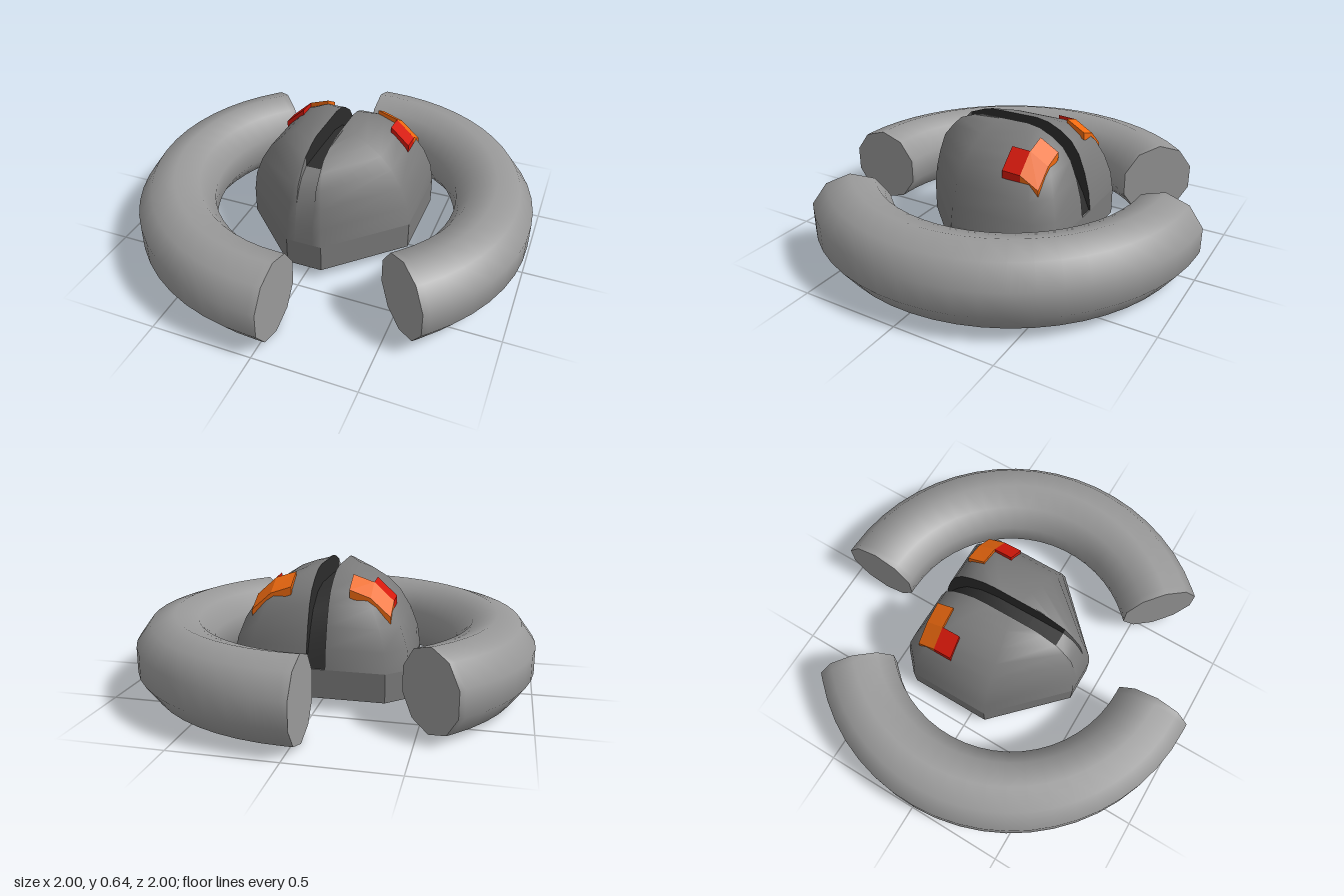
import * as THREE from 'three';
import { toCreasedNormals } from 'three/addons/utils/BufferGeometryUtils.js';

const ringGrey = new THREE.MeshStandardMaterial({ color: 0x999999 });
const bodyGrey = new THREE.MeshStandardMaterial({ color: 0x7a7a7a });
const bodyThin = new THREE.MeshStandardMaterial({ color: 0x7a7a7a, side: THREE.DoubleSide });
const dark = new THREE.MeshStandardMaterial({ color: 0x2c2c2c });
const darkThin = new THREE.MeshStandardMaterial({ color: 0x2c2c2c, side: THREE.DoubleSide });
const orange = new THREE.MeshStandardMaterial({ color: 0xf06a10, flatShading: true });
const red = new THREE.MeshStandardMaterial({ color: 0xd4180a, flatShading: true });

function part(parent, name, geometry, material) {
  const mesh = new THREE.Mesh(geometry, material);
  mesh.name = name;
  parent.add(mesh);
  return mesh;
}

// Skin over rows of points, with optional flat caps on the first and last row
function loft(rows, crease, capStart, capEnd) {
  const n = rows[0].length;
  const index = [];
  for (let i = 0; i < rows.length - 1; i++) {
    for (let j = 0; j < n - 1; j++) {
      const a = i * n + j, b = a + 1, c = a + n, d = c + 1;
      index.push(a, b, d, a, d, c);
    }
  }
  const last = (rows.length - 1) * n;
  for (let j = 1; j < n - 1; j++) {
    if (capStart) index.push(0, j + 1, j);
    if (capEnd) index.push(last, last + j, last + j + 1);
  }
  const g = new THREE.BufferGeometry();
  g.setAttribute('position', new THREE.Float32BufferAttribute(rows.flat(2), 3));
  g.setIndex(index);
  return toCreasedNormals(g, crease);
}

// Ten-sided ring arm: a 135 degree arc with a short straight piece at each end
function ringArm() {
  const R = 0.81, r = 0.2, ext = 0.035, steps = 20, sides = 10;
  const rows = [];
  for (let i = -1; i <= steps + 1; i++) {
    const k = Math.min(Math.max(i, 0), steps);
    const a = -Math.PI / 2 + (k / steps) * Math.PI * 0.75;
    const push = i < 0 ? -ext : i > steps ? ext : 0;
    const row = [];
    for (let j = 0; j <= sides; j++) {
      const t = Math.PI / 2 + ((j % sides) / sides) * Math.PI * 2;
      const d = R + r * Math.cos(t);
      row.push([
        d * Math.cos(a) - push * Math.sin(a),
        0.2 + r * Math.sin(t),
        d * Math.sin(a) + push * Math.cos(a),
      ]);
    }
    rows.push(row);
  }
  return loft(rows, 0.75, true, true);
}

// Dome levels: height, half width, front z, back z
const levels = [
  [0.2, 0.427, 0.42, -0.43],
  [0.3, 0.413, 0.41, -0.417],
  [0.4, 0.375, 0.388, -0.39],
  [0.49, 0.32, 0.362, -0.355],
  [0.55, 0.26, 0.315, -0.312],
  [0.595, 0.19, 0.27, -0.25],
  [0.625, 0.115, 0.19, -0.185],
  [0.637, 0.055, 0.14, -0.12],
];
const slot = 0.045;

// One half outline of the body plan, front to back
function outline([, w, zf, zb]) {
  return [
    [slot, zf], [Math.max(slot + 0.004, w * 0.21), zf], [w, zf * 0.21],
    [w, zb * 0.79], [Math.max(slot + 0.004, w * 0.77), zb], [slot, zb],
  ];
}

function domeHalf(side) {
  const rows = levels.map((level) => {
    const row = outline(level).map(([x, z]) => [x * side, level[0], z]);
    return side < 0 ? row.reverse() : row;
  });
  return loft(rows, 0.85, false, true);
}

// Shapes below are drawn as (z, y) side profiles
const profile = (points) => new THREE.Shape(points.map(([z, y]) => new THREE.Vector2(z, y)));
const sideways = (geometry, x) => geometry.rotateY(-Math.PI / 2).translate(x, 0, 0);
const strip = (points) => toCreasedNormals(sideways(
  new THREE.ExtrudeGeometry(profile(points), { depth: slot * 2, bevelEnabled: false }), slot), 0.6);

// Armour patch: a box bent to the dome by a small height table
const patchX = [0.14, 0.24, 0.335];
const patchZ = [-0.335, -0.24, -0.145];
const patchY = [[0.565, 0.53, 0.445], [0.62, 0.587, 0.5], [0.625, 0.592, 0.505]];
function patch(side, x0, z0) {
  const n = 2 - x0;
  const g = new THREE.BoxGeometry(n, 1, 1, n, 1, 1);
  const p = g.attributes.position;
  for (let i = 0; i < p.count; i++) {
    const col = x0 + Math.round(side * p.getX(i) + n / 2);
    const row = z0 + Math.round(p.getZ(i) + 0.5);
    const low = p.getY(i) < 0 ? 0.038 : 0;
    p.setXYZ(i, side * patchX[col], patchY[row][col] - low, patchZ[row]);
  }
  g.computeVertexNormals();
  return g;
}

export function createModel() {
  const model = new THREE.Group();
  model.name = 'ringedPod';

  // Two matching ring arms, half a turn apart
  for (const [name, turn] of [['leftRingArm', 0], ['rightRingArm', Math.PI]]) {
    part(model, name, ringArm(), ringGrey).rotation.y = turn;
  }

  // Flat-sided base plate
  const half = outline(levels[0]).slice(1, -1);
  const plan = [...half, ...half.map(([x, z]) => [-x, z]).reverse()];
  const base = new THREE.ExtrudeGeometry(
    new THREE.Shape(plan.map(([x, z]) => new THREE.Vector2(x, -z))),
    { depth: 0.14, bevelEnabled: false });
  part(model, 'base', base.rotateX(-Math.PI / 2).translate(0, 0.06, 0), bodyGrey);

  // Slot floor, running over the top and down the back
  const floor = [[0.265, 0.54], [0.1, 0.542], [-0.1, 0.54], [-0.2, 0.515],
    [-0.29, 0.45], [-0.35, 0.36], [-0.39, 0.28], [-0.422, 0.2]];
  part(model, 'slotFloor', strip([...floor, [0.265, 0.2]]), dark);

  // Grey strip in front of the slot, a notch that runs out flush with the dome
  const front = levels.map((l) => [l[2], l[0]]);
  const back = levels.map((l) => [l[3], l[0]]).reverse();
  const notch = [[0.265, 0.54], [0.32, 0.51], [0.355, 0.465]];
  part(model, 'noseStrip', strip([
    ...notch, ...front.slice(0, 3).reverse(), [0.265, 0.2]]), bodyGrey);

  // Walls of the slot and the notch
  const slotWall = profile([...front.slice(5), ...back, ...[...floor].reverse()]);
  const notchWall = profile([...notch, ...front.slice(2, 6)]);

  for (const [label, side] of [['left', 1], ['right', -1]]) {
    part(model, label + 'Dome', domeHalf(side), bodyGrey);
    part(model, label + 'SlotWall', sideways(new THREE.ShapeGeometry(slotWall), side * slot), darkThin);
    part(model, label + 'NotchWall', sideways(new THREE.ShapeGeometry(notchWall), side * slot), bodyThin);
    part(model, label + 'OrangePatch', patch(side, 0, 0), orange);
    part(model, label + 'RedPatch', patch(side, 1, 1), red);
  }
  return model;
}
